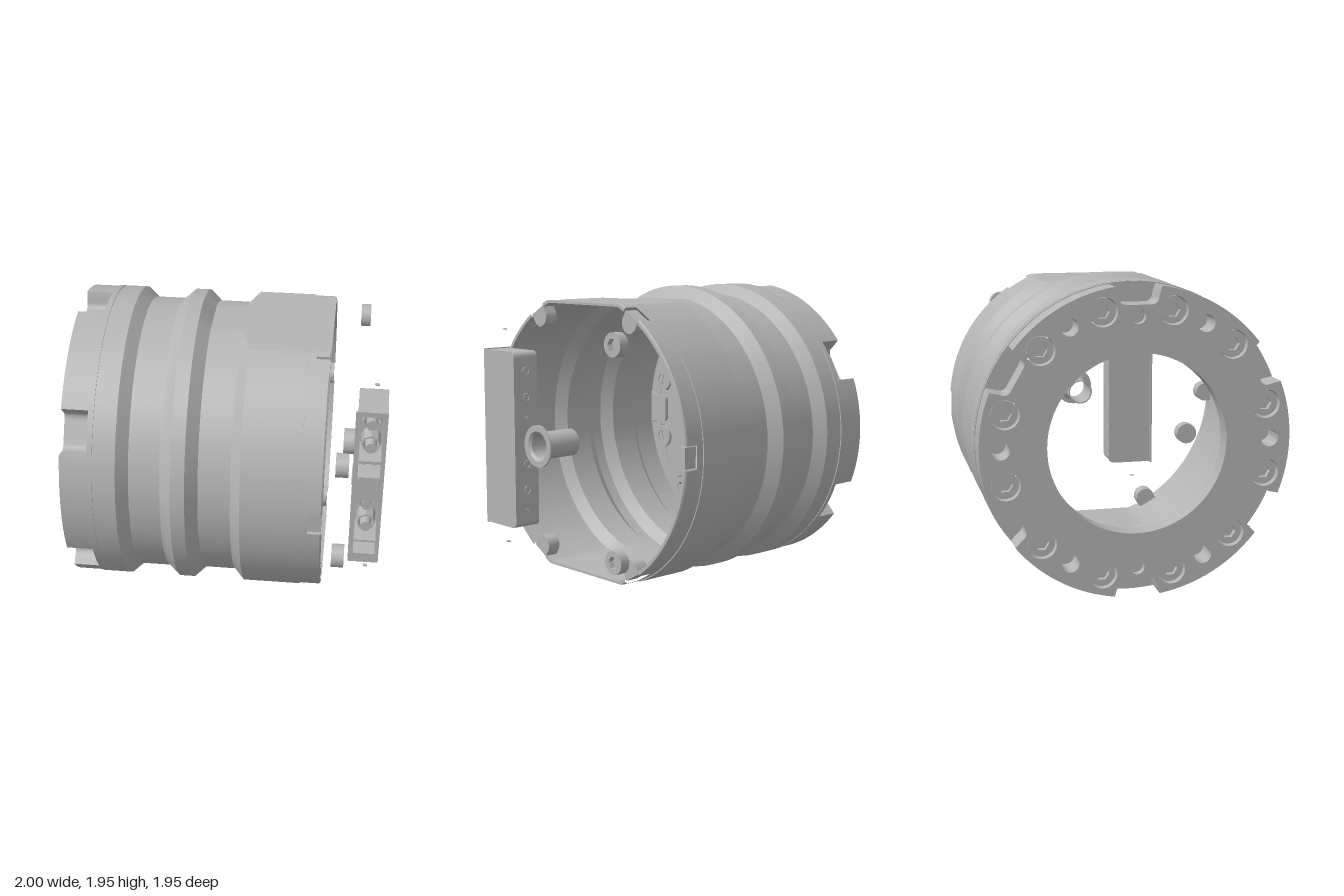
import * as THREE from 'three';
import { toCreasedNormals } from 'three/addons/utils/BufferGeometryUtils.js';

const CY = 0.978;              // height of the main axis
const FLAT = 0.89;             // half height between the top and bottom flats
const rad = THREE.MathUtils.degToRad;

export function createModel() {
  const root = new THREE.Group();
  const grey = new THREE.MeshStandardMaterial({ color: 0xb4b4b4 });
  grey.name = 'metalGrey';

  const axis = new THREE.Group();   // everything centred on the main axis
  axis.name = 'assembly';
  axis.position.y = CY;
  root.add(axis);

  function add(name, geo, x = 0, y = 0, z = 0, parent = axis) {
    const m = new THREE.Mesh(toCreasedNormals(geo, 0.4), grey);
    m.name = name;
    m.position.set(x, y, z);
    parent.add(m);
    return m;
  }

  // Lathe around x from [x, radius] pairs; rising x faces outward
  function turn(profile, seg = 32, start = 0, length = Math.PI * 2) {
    const pts = profile.map(([x, r]) => new THREE.Vector2(r, x));
    return new THREE.LatheGeometry(pts, seg, start, length).rotateZ(-Math.PI / 2);
  }
  // Extrude along x: shape u becomes -z, v becomes y
  function extrudeX(shape, depth, curveSegments = 16) {
    return new THREE.ExtrudeGeometry(shape, { depth, curveSegments, bevelEnabled: false }).rotateY(Math.PI / 2);
  }
  // Press the turned wall against the two flats
  function flatten(geo, limit) {
    const p = geo.attributes.position;
    for (let i = 0; i < p.count; i++) {
      if (p.getX(i) > -0.15) p.setY(i, THREE.MathUtils.clamp(p.getY(i), -limit, limit));
    }
    return geo;
  }
  const circle = (Type, u, v, r) => new Type().absarc(u, v, r, 0, Math.PI * 2, Type === THREE.Path);

  // Bellows-like housing wall, outside and inside
  const outer = [[-0.83, 0.945], [-0.83, 0.975], [-0.795, 0.975], [-0.795, 0.968], [-0.785, 0.968],
    [-0.785, 0.975], [-0.65, 0.975], [-0.58, 0.91], [-0.385, 0.91], [-0.375, 0.915], [-0.31, 0.975],
    [-0.22, 0.975], [-0.147, 0.905], [0.055, 0.905], [0.075, 0.925], [0.1, 0.953], [0.12, 0.975],
    [0.49, 0.975], [0.49, 0.968], [0.54, 0.968]];
  const inner = [[0.54, 0.94], [0.13, 0.94], [0.06, 0.88], [-0.14, 0.88], [-0.225, 0.945], [-0.305, 0.945],
    [-0.38, 0.885], [-0.585, 0.885], [-0.655, 0.945], [-0.83, 0.945]];
  add('housingOuterWall', flatten(turn(outer, 180), FLAT));
  add('housingInnerWall', flatten(turn(inner, 180), FLAT - 0.015));

  // Open rim, interrupted by six slots holding lugs
  const gap = 0.077;
  for (let k = 0; k < 6; k++) {
    const a = k * Math.PI / 3;
    const span = Math.PI / 3 - 2 * gap;
    add('rimOuter', flatten(turn([[0.54, 0.968], [0.62, 0.968], [0.63, 0.96]], 36, a + gap, span), FLAT));
    const lip = turn([[0.63, 0.96], [0.63, 0.94], [0.54, 0.94]], 36, a + gap, span);
    const p = lip.attributes.position;
    for (let i = 0; i < p.count; i++) {
      const onEdge = Math.hypot(p.getY(i), p.getZ(i)) > 0.95;
      const lim = onEdge ? FLAT : FLAT - 0.015;
      p.setY(i, THREE.MathUtils.clamp(p.getY(i), -lim, lim));
    }
    add('rimInner', lip);

    const lug = new THREE.Shape();
    lug.moveTo(0.95, -0.066);
    lug.lineTo(0.95, 0.066);
    lug.lineTo(0.9, 0.066);
    lug.absarc(0.9, 0, 0.066, Math.PI / 2, Math.PI * 1.5, false);
    add('rimLug', extrudeX(lug, 0.09), 0.535).rotation.x = a;
  }

  // Rear flange with six rim notches and rings of holes
  const flange = new THREE.Shape();
  for (let k = 0; k < 6; k++) {
    const a = rad(30 + 60 * k);
    const at = (r, t) => [r * Math.cos(a) - t * Math.sin(a), r * Math.sin(a) + t * Math.cos(a)];
    flange.absarc(0, 0, 0.97, a - rad(51.5), a - rad(8.5), false);
    flange.lineTo(...at(0.9, -0.125));
    flange.quadraticCurveTo(...at(0.85, -0.12), ...at(0.85, -0.075));
    flange.lineTo(...at(0.85, 0.075));
    flange.quadraticCurveTo(...at(0.85, 0.12), ...at(0.9, 0.125));
    flange.lineTo(...at(0.97 * Math.cos(rad(8.5)), 0.97 * Math.sin(rad(8.5))));
  }
  const ring = (r, deg) => [r * Math.cos(rad(deg)), r * Math.sin(rad(deg))];
  flange.holes.push(circle(THREE.Path, 0, 0, 0.62));
  for (let k = 0; k < 12; k++) flange.holes.push(circle(THREE.Path, ...ring(0.84, 15 + 30 * k), 0.09));
  for (let k = 0; k < 6; k++) flange.holes.push(circle(THREE.Path, ...ring(0.84, 60 * k), 0.055));
  for (const s of [-1, 1]) flange.holes.push(circle(THREE.Path, 0, s * 0.78, 0.045));
  add('rearFlange', extrudeX(flange, 0.17, 18), -1);
  add('flangeBore', turn([[-0.83, 0.62], [-0.88, 0.56], [-1, 0.56], [-1, 0.62]], 96));
  // Closing wall behind the notches
  add('notchEndWall', turn([[-0.83, 0.85], [-0.83, 0.975]], 96));
  const innerStep = turn([[-0.825, 0.95], [-0.825, 0.845], [-0.83, 0.845]], 96);
  add('notchStep', innerStep);

  // Socket screw head: hexagonal recess on the +x side, optionally on both
  function screw(name, r, length, both) {
    const g = new THREE.Group();
    g.name = name;
    const face = circle(THREE.Shape, 0, 0, r);
    const hex = new THREE.Path();
    hex.setFromPoints([0, 1, 2, 3, 4, 5].map((i) => new THREE.Vector2(...ring(r * 0.56, 60 * i))));
    face.holes.push(hex);
    const d = 0.035;
    add('socketRing', extrudeX(face, d), length - d, 0, 0, g);
    if (both) add('socketRing', extrudeX(face, d), 0, 0, 0, g);
    const x0 = both ? d : 0;
    add('screwCore', turn([[x0, 0], [x0, r], [length - d, r], [length - d, 0]], 32), 0, 0, 0, g);
    axis.add(g);
    return g;
  }
  for (let k = 0; k < 12; k++) {
    const [z, y] = ring(0.84, 15 + 30 * k);
    screw('flangeBolt', 0.083, 0.155, true).position.set(-0.972, y, z);
  }
  for (const [x, y, z] of [[0.695, 0.347, 0.81], [0.8, 0.667, -0.57]]) {
    for (const s of [-1, 1]) screw('looseScrew', 0.075, x < 0.75 ? 0.08 : 0.065, false).position.set(x, s * y, z);
  }

  // Dowel pins at top and bottom of the flange
  for (const s of [-1, 1]) {
    add('dowelPin', turn([[-0.96, 0], [-0.96, 0.043], [-0.83, 0.043], [-0.81, 0.036], [-0.797, 0.02], [-0.793, 0]], 24), 0, s * 0.78, 0);
  }

  // Raised pads covering the plain holes on the inside
  for (let k = 0; k < 6; k++) {
    const pad = new THREE.Shape();
    pad.moveTo(0.92, -0.12);
    pad.lineTo(0.92, 0.12);
    pad.lineTo(0.87, 0.1);
    pad.lineTo(0.8, 0.1);
    pad.quadraticCurveTo(0.76, 0.1, 0.76, 0.06);
    pad.lineTo(0.76, -0.06);
    pad.quadraticCurveTo(0.76, -0.1, 0.8, -0.1);
    pad.lineTo(0.87, -0.1);
    add('innerPad', extrudeX(pad, 0.025), -0.83).rotation.x = k * Math.PI / 3;
  }

  // Flanged sleeve floating on the axis
  add('flangedSleeve', turn([[0.73, 0.078], [0.73, 0.087], [0.965, 0.087], [0.985, 0.105], [0.987, 0.135],
    [1, 0.135], [1, 0.095], [0.985, 0.078], [0.73, 0.078]], 48));

  // Connector block: hollow front half, rounded back half
  const block = new THREE.Group();
  block.name = 'connectorBlock';
  root.add(block);
  const rect = (Type, x0, x1, y0, y1) => new Type().setFromPoints(
    [[x0, y0], [x1, y0], [x1, y1], [x0, y1]].map((p) => new THREE.Vector2(...p)));
  const extrudeZ = (shape, depth) => new THREE.ExtrudeGeometry(shape, { depth, bevelEnabled: false });
  const cavities = () => [[1.2, 1.525], [1.075, 1.18], [0.58, 0.89], [0.47, 0.565]]
    .map(([y0, y1]) => rect(THREE.Path, 0.832, 0.975, y0, y1));
  const shell = rect(THREE.Shape, 0.815, 1, 0.405, 1.555);
  shell.holes = cavities();
  add('connectorShell', extrudeZ(shell, 0.21), 0, 0, 0.34, block);
  const lipShape = rect(THREE.Shape, 0.8, 1, 0.4, 1.56);
  lipShape.holes = cavities();
  add('connectorLip', extrudeZ(lipShape, 0.015), 0, 0, 0.55, block);

  const back = new THREE.Shape();
  back.moveTo(-0.34, 0.405);
  back.lineTo(-0.28, 0.405);
  back.quadraticCurveTo(-0.237, 0.405, -0.237, 0.45);
  back.lineTo(-0.237, 1.51);
  back.quadraticCurveTo(-0.237, 1.555, -0.28, 1.555);
  back.lineTo(-0.34, 1.555);
  add('connectorBack', extrudeX(back, 0.185), 0.815, 0, 0, block);

  // Contacts inside the cavities and their rims on the back
  for (const y of [1.43, 1.26, 0.82, 0.65]) {
    const collar = circle(THREE.Shape, 0, 0, 0.062);
    collar.holes.push(circle(THREE.Path, 0, 0, 0.05));
    const tube = new THREE.ExtrudeGeometry(collar, { depth: 0.12, curveSegments: 4, bevelEnabled: false });
    add('contactCollar', tube, 0.905, y, 0.34, block);
    add('contactPin', new THREE.CylinderGeometry(0.036, 0.04, 0.17, 20).rotateX(Math.PI / 2), 0.905, y, 0.425, block);
    add('contactRim', new THREE.TorusGeometry(0.024, 0.004, 6, 20), 0.905, y, 0.237, block);
  }
  for (const y of [1.125, 0.52]) {
    for (const x of [0.87, 0.94]) {
      add('signalPin', new THREE.BoxGeometry(0.02, 0.02, 0.14), x, y, 0.41, block);
    }
    add('signalRim', new THREE.TorusGeometry(0.01, 0.003, 6, 12), 0.905, y, 0.237, block);
  }

  // Two tiny loose discs above and below the connector
  for (const y of [1.69, 0.275]) {
    add('tinyDisc', new THREE.CylinderGeometry(0.015, 0.015, 0.006, 12), 0.92, y, 0.44, root);
  }

  return root;
}
